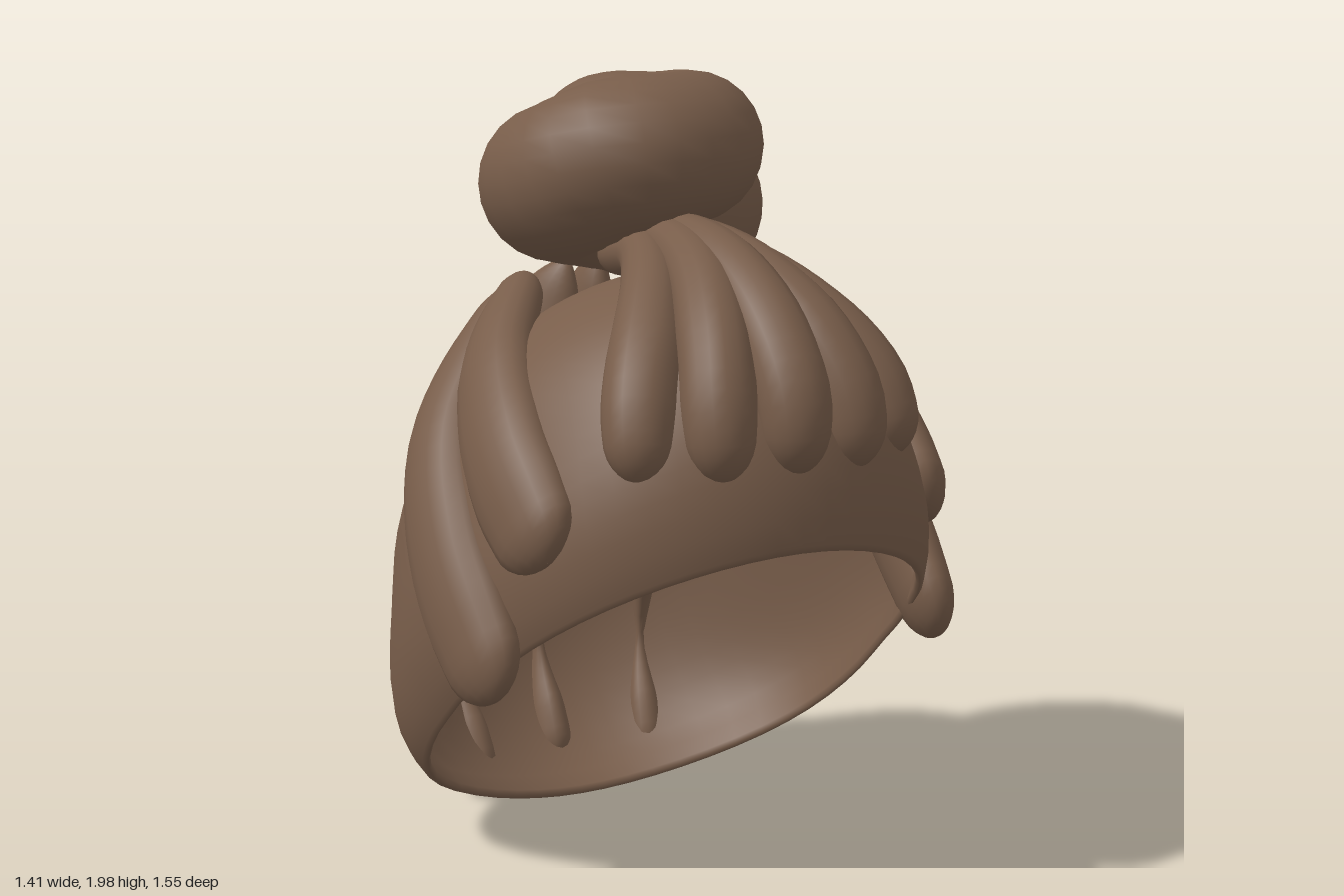
import * as THREE from 'three';

const V = (p) => new THREE.Vector3(...p);

// Builds a smooth surface from closed rings of equal size
function loft(rings, flip = false) {
  const n = rings[0].length, pos = [], idx = [];
  rings.forEach((r) => r.forEach((p) => pos.push(p.x, p.y, p.z)));
  for (let i = 0; i < rings.length - 1; i++) {
    for (let j = 0; j < n; j++) {
      const a = i * n + j, b = i * n + ((j + 1) % n), c = a + n, d = b + n;
      if (flip) idx.push(a, b, c, b, d, c);
      else idx.push(a, c, b, b, c, d);
    }
  }
  const g = new THREE.BufferGeometry();
  g.setAttribute('position', new THREE.Float32BufferAttribute(pos, 3));
  g.setIndex(idx);
  g.computeVertexNormals();
  return g;
}

// Linear interpolation along a short list
function sample(list, t) {
  const f = t * (list.length - 1), i = Math.min(Math.floor(f), list.length - 2);
  return list[i] + (list[i + 1] - list[i]) * (f - i);
}

// Round-ended tube: elliptical section, its depth pointing away from `centre`
function strand(points, widths, depths, { centre = [0, 0.8, 0], cap = 0.1, steps = 32, sides = 16 } = {}) {
  const curve = new THREE.CatmullRomCurve3(points.map(V)), mid = V(centre), rings = [];
  for (let i = 0; i <= steps; i++) {
    const t = 0.5 - 0.5 * Math.cos((Math.PI * i) / steps);
    const p = curve.getPointAt(t), tan = curve.getTangentAt(t);
    const out = p.clone().sub(mid);
    out.addScaledVector(tan, -out.dot(tan)).normalize();
    const side = tan.clone().cross(out);
    const e = Math.max(0, 1 - Math.min(t, 1 - t) / cap);
    const round = Math.max(0.004, Math.sqrt(1 - e * e));
    const w = sample(widths, t) * round, d = sample(depths, t) * round;
    const ring = [];
    for (let j = 0; j < sides; j++) {
      const a = (j / sides) * Math.PI * 2;
      ring.push(p.clone().addScaledVector(side, Math.cos(a) * w).addScaledVector(out, Math.sin(a) * d));
    }
    rings.push(ring);
  }
  return loft(rings);
}

// Leaning ellipsoid shell, open along a sloping hairline and broader near it at the back
function capGeometry() {
  const tilt = 0.447, steps = 24, sides = 56;
  const profile = [];
  for (let i = 0; i <= steps; i++) profile.push([Math.max(0.001, i / steps), 1]);
  profile.push([1.01, 0.99], [1.008, 0.978]);
  for (let i = steps; i >= 0; i--) profile.push([Math.max(0.001, i / steps), 0.968]);
  const rings = profile.map(([f, s]) => {
    const ring = [], low = THREE.MathUtils.smoothstep(f, 0.65, 1);
    for (let j = 0; j < sides; j++) {
      const a = (j / sides) * Math.PI * 2;
      const th = f * (2.02 + 0.055 * Math.abs(Math.sin(a)));
      const c = Math.cos(th), u = Math.sin(th) * Math.sin(a);
      const wide = 1 + low * (0.09 + (u < 0 ? 0.11 : 0.03) * Math.sin(2 * a) ** 2);
      const z = 0.735 * s * (-c * Math.sin(tilt) + u * Math.cos(tilt));
      const y = s * (c * Math.cos(tilt) + u * Math.sin(tilt));
      const x = (z < 0 ? 0.645 : 0.645 - 0.03 * Math.min(1, z / 0.3)) * s * wide * Math.sin(th) * Math.cos(a);
      ring.push(new THREE.Vector3(x, 0.78 + 0.3 * z + y * (y > 0 ? 0.72 : 0.78), z));
    }
    return ring;
  });
  return loft(rings, true);
}

export function createModel() {
  const group = new THREE.Group();
  const hair = new THREE.MeshStandardMaterial({ color: 0x785d4a });
  hair.name = 'brownHair';

  const add = (name, geometry) => {
    const m = new THREE.Mesh(geometry, hair);
    m.name = name;
    group.add(m);
  };
  // Adds a lock on the left and its mirror on the right
  const pair = (name, pts, widths, depths, { centre = [0, 0.8, 0], ...rest } = {}) => {
    const flip = ([x, y, z]) => [-x, y, z];
    add(name + 'Left', strand(pts, widths, depths, { centre, ...rest }));
    add(name + 'Right', strand(pts.map(flip), widths, depths, { centre: flip(centre), ...rest }));
  };

  add('hairCap', capGeometry());

  // Fan of five locks over the forehead
  const fringe = [0.06, 0.06, 0.07, 0.08, 0.09, 0.09, 0.075];
  add('fringeCentre', strand([[0, 1.57, -0.12], [0, 1.6, 0.14], [0, 1.56, 0.37], [0, 1.45, 0.56], [0, 1.3, 0.68],
    [0, 1.12, 0.7]], fringe, fringe));
  pair('fringeInner', [[0.03, 1.56, -0.12], [0.03, 1.59, 0.12], [0.07, 1.54, 0.36], [0.13, 1.42, 0.54],
    [0.17, 1.28, 0.635], [0.18, 1.11, 0.67]], fringe, fringe);
  pair('fringeOuter', [[0.07, 1.53, -0.12], [0.07, 1.56, 0.06], [0.14, 1.52, 0.25], [0.23, 1.42, 0.4],
    [0.31, 1.29, 0.51], [0.35, 1.11, 0.58]], fringe, fringe);

  // Two broad locks sweeping forward on each side
  const sweep = [0.05, 0.09, 0.12, 0.135, 0.14, 0.12], sweepDepth = [0.05, 0.07, 0.08, 0.08, 0.075, 0.06];
  const sideways = { centre: [-4, -0.6, 0] };
  pair('sideLockUpper', [[0.25, 1.48, -0.2], [0.43, 1.31, 0], [0.52, 1.13, 0.23], [0.53, 0.92, 0.47]],
    sweep, sweepDepth, sideways);
  pair('sideLockLower', [[0.27, 1.45, -0.23], [0.53, 1.13, -0.08], [0.615, 0.88, 0.11], [0.62, 0.58, 0.38]],
    sweep, sweepDepth, sideways);

  // Deep fin-like back locks that pinch inside the cap and end in drop-shaped tips
  const back = [0.03, 0.06, 0.065, 0.065, 0.065, 0.055, 0.035, 0.01, 0.045, 0.055];
  const backDepth = [0.04, 0.11, 0.17, 0.21, 0.2, 0.15, 0.08, 0.012, 0.07, 0.08];
  const fin = { cap: 0.06, steps: 44 };
  add('backLockCentre', strand([[0, 1.5, -0.3], [0, 1.18, -0.44], [0, 0.9, -0.54], [0, 0.62, -0.66],
    [0, 0.33, -0.665], [0, 0.06, -0.57]], back, backDepth, fin));
  pair('backLock', [[0.1, 1.5, -0.28], [0.18, 1.18, -0.4], [0.23, 0.9, -0.49], [0.29, 0.62, -0.595],
    [0.28, 0.33, -0.605], [0.26, 0.05, -0.51]], back, backDepth, fin);

  // Coiled bun: a thick roll winding up and tucking into its own middle
  const roll = [0.2, 0.22, 0.21, 0.2, 0.195, 0.195, 0.19, 0.18, 0.155, 0.12];
  add('bun', strand([[0.25, 1.64, -0.06], [0.2, 1.63, -0.24], [0.03, 1.67, -0.3], [-0.14, 1.7, -0.24],
    [-0.19, 1.73, -0.1], [-0.12, 1.79, 0.02], [0.02, 1.8, 0.035], [0.14, 1.8, -0.07], [0.125, 1.8, -0.22],
    [0.01, 1.82, -0.3], [-0.15, 1.84, -0.3]],
  roll, roll, { centre: [0, -50, -0.1], cap: 0.11, steps: 56, sides: 24 }));

  return group;
}
